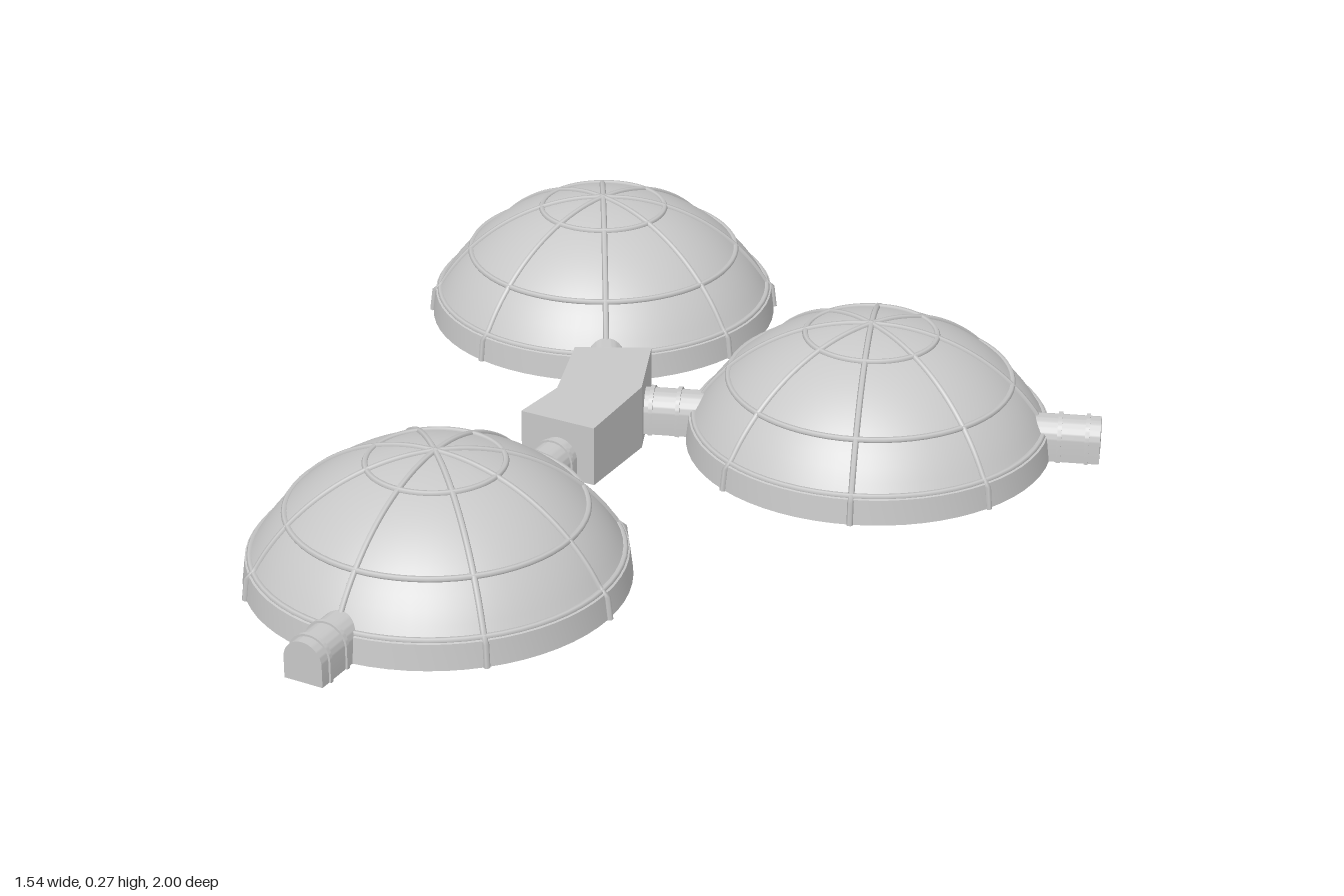
import * as THREE from 'three';
import { toCreasedNormals } from 'three/addons/utils/BufferGeometryUtils.js';

const BASE = 0.013;      // floor of the domes
const R = 0.39;          // radius of the dome's sphere
const CY = -0.128;       // height of that sphere's centre
const WALL_R = 0.354;
const WALL_TOP = 0.062;
const BAND = 0.006;      // rib thickness

const shell = new THREE.MeshStandardMaterial({ color: 0xc8c8c8 });
shell.name = 'light grey shell';

function add(parent, name, geometry) {
  const mesh = new THREE.Mesh(geometry, shell);
  mesh.name = name;
  parent.add(mesh);
  return mesh;
}

// Radius of the dome at a given height
const radiusAt = (y) => Math.sqrt(R * R - (y - CY) ** 2);

// Arched cross-section standing on the floor
function archShape(halfWidth, top) {
  const s = new THREE.Shape();
  s.moveTo(-halfWidth, BASE);
  s.lineTo(halfWidth, BASE);
  s.lineTo(halfWidth, top - halfWidth);
  s.absarc(0, top - halfWidth, halfWidth, 0, Math.PI, false);
  s.closePath();
  return s;
}

function arch(halfWidth, top, z0, z1) {
  const g = new THREE.ExtrudeGeometry(archShape(halfWidth, top), {
    depth: z1 - z0, bevelEnabled: false, curveSegments: 16,
  });
  return toCreasedNormals(g.translate(0, 0, z0), 0.6);
}

function createDome(name, x, z, outX, outZ) {
  const dome = new THREE.Group();
  dome.name = name;
  dome.position.set(x, 0, z);
  dome.rotation.y = Math.atan2(outX, outZ);

  // Floor, low wall and rounded roof in one profile
  const profile = [
    new THREE.Vector2(0, BASE),
    new THREE.Vector2(WALL_R, BASE),
    new THREE.Vector2(WALL_R - 0.006, WALL_TOP),
  ];
  const rim = Math.asin(radiusAt(WALL_TOP + 0.003) / R);
  for (let i = 0; i <= 16; i++) {
    const a = rim * (1 - i / 16);
    profile.push(new THREE.Vector2(i === 16 ? 0 : R * Math.sin(a), CY + R * Math.cos(a)));
  }
  add(dome, 'domeShell', toCreasedNormals(new THREE.LatheGeometry(profile, 64), 0.5));

  // Horizontal bands
  for (const y of [WALL_TOP + 0.003, 0.15, 0.241]) {
    const g = new THREE.TorusGeometry(radiusAt(y), BAND, 6, 64);
    add(dome, 'ringBand', g.rotateX(Math.PI / 2)).position.y = y;
  }

  // Eight ribs rising from the floor to the crown
  const path = new THREE.CurvePath();
  const arc = [];
  for (let i = 0; i <= 8; i++) {
    const a = rim * (1 - i / 8);
    arc.push(new THREE.Vector3(0, CY + R * Math.cos(a), R * Math.sin(a)));
  }
  path.add(new THREE.LineCurve3(new THREE.Vector3(0, BASE, WALL_R + 0.002), new THREE.Vector3(0, WALL_TOP, WALL_R - 0.004)));
  path.add(new THREE.LineCurve3(new THREE.Vector3(0, WALL_TOP, WALL_R - 0.004), arc[0]));
  path.add(new THREE.CatmullRomCurve3(arc));
  const rib = new THREE.TubeGeometry(path, 32, BAND, 6);
  for (let i = 0; i < 8; i++) add(dome, 'rib', rib).rotation.y = (i * Math.PI) / 4;

  // Entrance tunnels on both ends of the axis
  for (const turn of [0, Math.PI]) {
    const tunnel = new THREE.Group();
    tunnel.name = turn ? 'innerTunnel' : 'outerTunnel';
    tunnel.rotation.y = turn;
    add(tunnel, 'tunnelBody', arch(0.039, 0.093, 0.29, 0.447));
    for (const z of [0.365, 0.418]) {
      add(tunnel, 'tunnelBand', arch(0.043, 0.097, z, z + 0.008));
    }
    dome.add(tunnel);
  }
  return dome;
}

// Bent corridor block that joins the three domes
function hubGeometry() {
  const outline = [
    [-0.2, 0.11], [-0.042, 0.11], [-0.048, -0.09],
    [-0.116, -0.255], [-0.25, -0.185], [-0.19, -0.01],
  ].map(([x, z]) => new THREE.Vector2(x, z));
  const g = new THREE.ExtrudeGeometry(new THREE.Shape(outline), { depth: 0.13, bevelEnabled: false });
  g.rotateX(Math.PI / 2).translate(0, 0.13, 0);
  // The front end of the underside sits slightly higher
  const p = g.attributes.position;
  for (let i = 0; i < p.count; i++) {
    if (p.getY(i) < 0.01 && p.getZ(i) > 0.05) p.setY(i, 0.01);
  }
  const flat = g.index ? g.toNonIndexed() : g;
  flat.computeVertexNormals();
  return flat;
}

export function createModel() {
  const model = new THREE.Group();
  model.name = 'domeHabitat';
  model.add(
    createDome('frontDome', -0.118, 0.553, 0, 1),
    createDome('backDome', -0.415, -0.598, -0.5, -0.866),
    createDome('sideDome', 0.335, -0.305, 0.94, -0.342),
  );
  add(model, 'hub', hubGeometry());
  return model;
}
